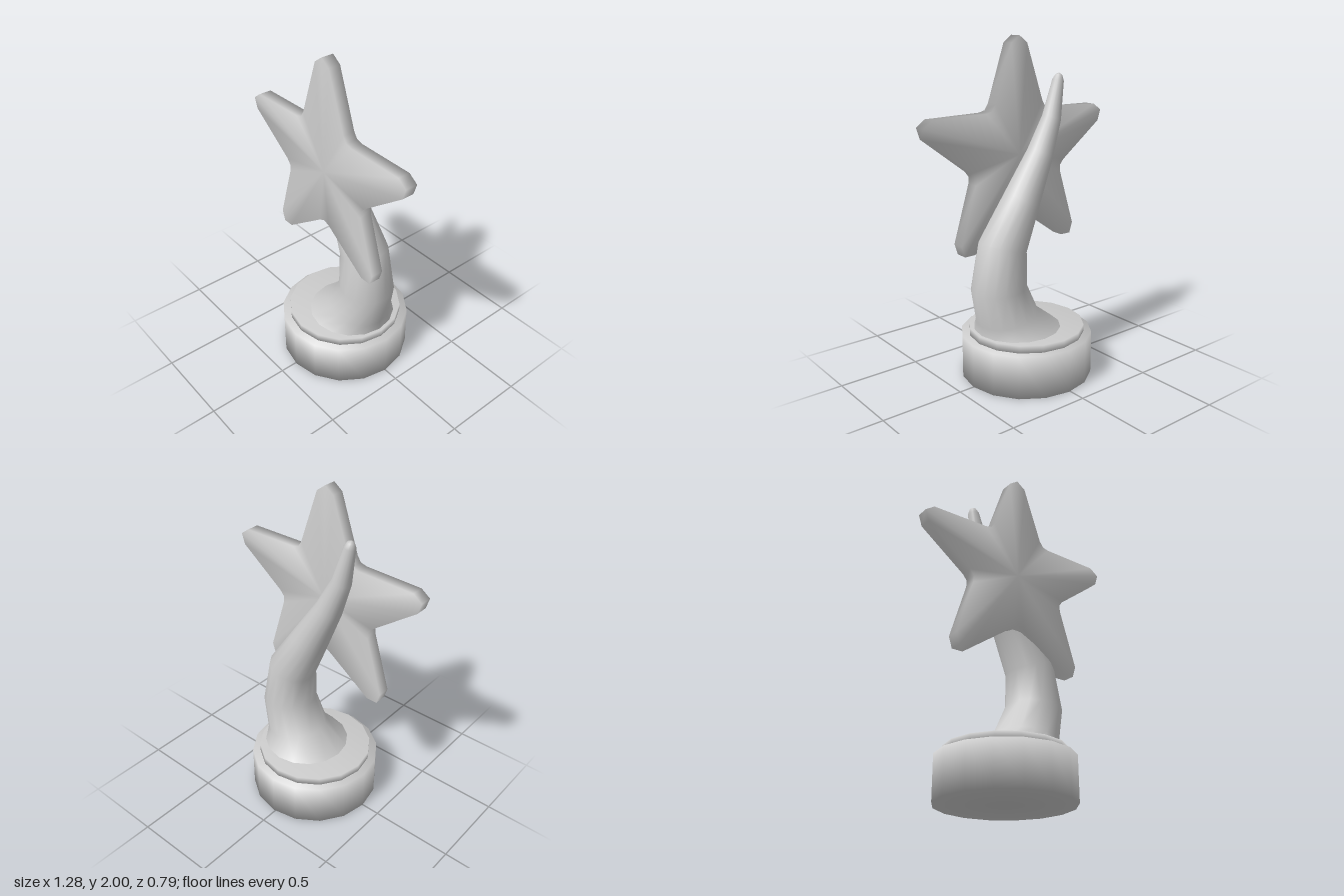
import * as THREE from 'three';

const material = new THREE.MeshStandardMaterial({ color: 0xcccccc });

function addMesh(group, name, geometry) {
  const mesh = new THREE.Mesh(geometry, material);
  mesh.name = name;
  group.add(mesh);
  return mesh;
}

function indexed(positions, index) {
  const geo = new THREE.BufferGeometry();
  geo.setAttribute('position', new THREE.Float32BufferAttribute(positions, 3));
  geo.setIndex(index);
  geo.computeVertexNormals();
  return geo;
}

// Flat plate with shared vertices, so the shading rolls softly over its rim
function starGeometry(cx, cy, zBack, zFront) {
  const steps = [ // [degrees from the point's axis, radius]
    [-5, 0.637], [0, 0.675], [5, 0.637],
    [29.5, 0.345], [36, 0.328], [42.5, 0.345],
  ];
  const rim = [];
  for (let p = 0; p < 5; p++) {
    for (const [deg, r] of steps) {
      const a = THREE.MathUtils.degToRad(90 + p * 72 + deg);
      rim.push([cx + r * Math.cos(a), cy + r * Math.sin(a)]);
    }
  }
  const n = rim.length;
  const pos = [];
  for (const z of [zFront, zBack]) for (const [x, y] of rim) pos.push(x, y, z);
  pos.push(cx, cy, zFront, cx, cy, zBack);
  const index = [];
  for (let i = 0; i < n; i++) {
    const j = (i + 1) % n;
    index.push(2 * n, i, j); // front
    index.push(2 * n + 1, n + j, n + i); // back
    index.push(i, n + i, n + j, i, n + j, j); // rim
  }
  return indexed(pos, index);
}

// Tapering horn: round sections [x, y, radius, tilt] along a bent path
function hornGeometry(sections, sides = 16) {
  const pos = [];
  const index = [];
  for (const [x, y, r, tilt] of sections) {
    for (let k = 0; k < sides; k++) {
      const a = (k / sides) * Math.PI * 2;
      const u = r * Math.cos(a);
      pos.push(x + u * Math.cos(tilt), y + u * Math.sin(tilt), r * Math.sin(a));
    }
  }
  for (let s = 0; s < sections.length - 1; s++) {
    for (let k = 0; k < sides; k++) {
      const a = s * sides + k;
      const b = s * sides + ((k + 1) % sides);
      index.push(a, a + sides, b, b, a + sides, b + sides);
    }
  }
  // Tip cap
  const last = (sections.length - 1) * sides;
  pos.push(-0.236, 1.787, 0);
  for (let k = 0; k < sides; k++) {
    index.push(last + k, sections.length * sides, last + ((k + 1) % sides));
  }
  return indexed(pos, index);
}

export function createModel() {
  const model = new THREE.Group();
  model.name = 'starTrophy';

  // Round plinth with a low step on top
  const drum = [[0, 0], [0.395, 0], [0.395, 0.26], [0, 0.26]];
  const step = [[0, 0.25], [0.348, 0.25], [0.348, 0.305], [0, 0.305]];
  for (const [name, profile] of [['plinth', drum], ['plinthStep', step]]) {
    const points = profile.map(([r, y]) => new THREE.Vector2(r, y));
    addMesh(model, name, new THREE.LatheGeometry(points, 16)).position.x = 0.01;
  }

  // Curved stem behind the star
  addMesh(model, 'stem', hornGeometry([
    [0.08, 0.305, 0.26, 0],
    [0.155, 0.39, 0.187, -0.16],
    [0.213, 0.575, 0.165, -0.08],
    [0.185, 0.82, 0.144, 0.28],
    [0.045, 1.07, 0.111, 0.48],
    [-0.095, 1.33, 0.079, 0.46],
    [-0.18, 1.53, 0.057, 0.32],
    [-0.228, 1.745, 0.034, 0.2],
    [-0.234, 1.775, 0.02, 0.2],
  ]));

  // Five-pointed star plate
  addMesh(model, 'star', starGeometry(0, 1.325, 0.07, 0.145));

  return model;
}
